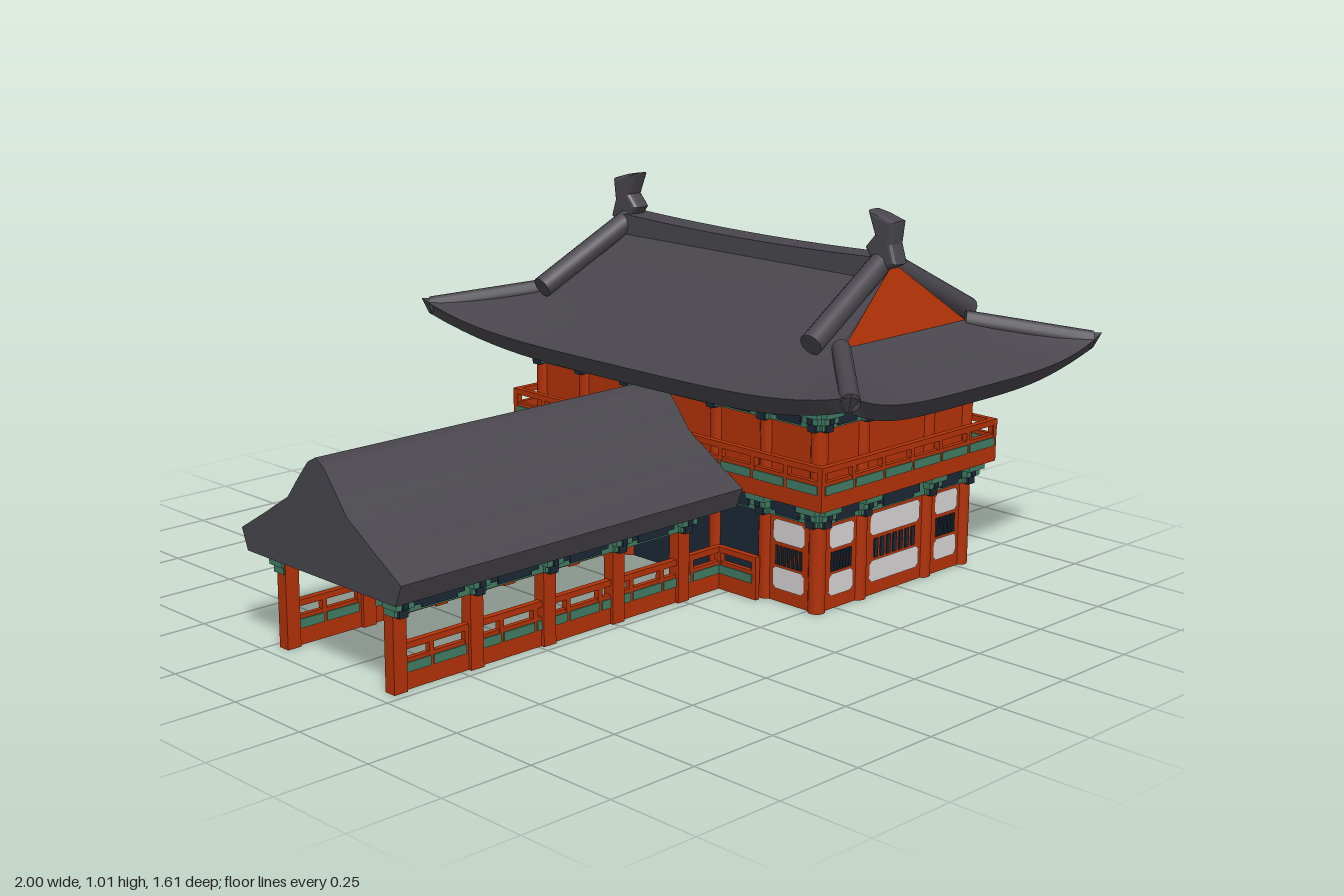
import * as THREE from 'three';
import { toCreasedNormals } from 'three/addons/utils/BufferGeometryUtils.js';

const mat = (name, color, side = THREE.FrontSide) => {
  const m = new THREE.MeshStandardMaterial({ color, side });
  m.name = name;
  return m;
};
const CX = 0.485; // centre of the gatehouse along x

export function createModel() {
  const model = new THREE.Group();
  model.name = 'gatehouse';
  const tile = mat('roof tile grey', 0x48464c, THREE.DoubleSide);
  const red = mat('vermilion timber', 0xb23208);
  const green = mat('bracket green', 0x407a63);
  const navy = mat('door navy', 0x1b2836);
  const white = mat('plaster white', 0xd4d2d2, THREE.DoubleSide);

  const add = (parent, name, geo, m, x = 0, y = 0, z = 0) => {
    const mesh = new THREE.Mesh(geo, m);
    mesh.name = name;
    mesh.position.set(x, y, z);
    parent.add(mesh);
    return mesh;
  };
  // Box given by its centre in x and z and its bottom and top heights
  const box = (parent, name, m, x, z, w, d, y0, y1) =>
    add(parent, name, new THREE.BoxGeometry(w, y1 - y0, d), m, x, (y0 + y1) / 2, z);
  const group = (name, x = 0, angle = 0) => {
    const g = new THREE.Group();
    g.name = name;
    g.position.x = x;
    g.rotation.y = angle;
    model.add(g);
    return g;
  };
  // Round bar between two points
  const bar = (parent, name, m, p, q, r) => {
    const a = new THREE.Vector3(...p), b = new THREE.Vector3(...q);
    const mesh = add(parent, name, new THREE.CylinderGeometry(r, r, a.distanceTo(b), 12), m);
    mesh.position.copy(a).add(b).multiplyScalar(0.5);
    mesh.quaternion.setFromUnitVectors(new THREE.Vector3(0, 1, 0), b.sub(a).normalize());
  };

  // Green frieze with navy insets and stepped brackets over the posts
  const frieze = (g, posts, y, z) => {
    const first = posts[0], last = posts[posts.length - 1];
    box(g, 'friezeBeam', green, (first + last) / 2, z + 0.004, last - first, 0.03, y, y + 0.055);
    posts.forEach((u, i) => {
      [[0.045, 0.04, 0], [0.054, 0.052, 0.018], [0.066, 0.064, 0.037]].forEach(([w, d, dy]) =>
        box(g, 'bracket', green, u, z + d / 2 - 0.013, w, d, y + dy, y + dy + 0.018));
      box(g, 'bracketShadow', navy, u, z + 0.02, 0.026, 0.028, y - 0.004, y + 0.018);
      box(g, 'bracketShadow', navy, u, z + 0.03, 0.018, 0.024, y + 0.018, y + 0.034);
      if (i === posts.length - 1) return;
      const len = posts[i + 1] - u;
      box(g, 'friezeInset', navy, u + len / 2, z + 0.02, len * 0.46, 0.006, y + 0.005, y + 0.046);
      box(g, 'friezeInset', navy, u + len / 2, z + 0.019, len * 0.66, 0.006, y + 0.014, y + 0.036);
    });
  };

  // Railing along local x: solid base, green fretwork, open gap and handrail
  const railing = (parent, name, x, y, z, len, angle = 0, fret = true) => {
    const g = new THREE.Group();
    g.name = name;
    g.position.set(x, y, z);
    g.rotation.y = angle;
    parent.add(g);
    box(g, 'railBase', red, 0, 0, len, 0.014, 0, 0.078);
    box(g, 'handrail', red, 0, 0, len, 0.018, 0.102, 0.118);
    const n = Math.max(1, Math.round(len / 0.115));
    for (let i = 0; i <= n; i++) {
      const u = (i / n - 0.5) * (len - 0.014);
      box(g, 'railPost', red, u, 0, 0.014, 0.016, 0.07, 0.11);
      if (fret && i < n) box(g, 'fretwork', green, u + len / n / 2, 0, len / n * 0.9, 0.02, 0.044, 0.068);
    }
  };

  // Plaster panel with clipped corners
  const panel = (g, u, y, z, w, h) => {
    const c = 0.01;
    const s = new THREE.Shape([[-w / 2 + c, 0], [w / 2 - c, 0], [w / 2, c], [w / 2, h - c], [w / 2 - c, h],
      [-w / 2 + c, h], [-w / 2, h - c], [-w / 2, c]].map(p => new THREE.Vector2(...p)));
    add(g, 'plasterPanel', new THREE.ShapeGeometry(s), white, u, y, z);
  };

  // One walled side of the gatehouse; plaster bays are finished inside and out
  const facade = (name, angle, dist, posts, isPlaster, drawCorners) => {
    const g = group(name, CX, angle);
    const end = posts[posts.length - 1];
    box(g, 'upperWall', red, 0, dist, end * 2, 0.02, 0.3, 0.545);
    posts.forEach((u, i) => {
      if (drawCorners || Math.abs(u) < end)
        add(g, 'post', new THREE.CylinderGeometry(0.023, 0.023, 0.545, 12), red, u, 0.2725, dist);
      if (i === posts.length - 1) return;
      const len = posts[i + 1] - u, mid = u + len / 2;
      const plaster = isPlaster(mid);
      box(g, plaster ? 'timberBay' : 'doorBay', plaster ? red : navy, mid, dist, len, 0.02, 0, 0.295);
      if (!plaster) return;
      const w = len - 0.066;
      for (const s of [-1, 1]) {
        panel(g, mid, 0.164, dist + s * 0.013, w, 0.062);
        panel(g, mid, 0.036, dist + s * 0.013, w, 0.06);
      }
      for (let k = -3; k <= 3; k++)
        box(g, 'windowBar', navy, mid + k * w / 8, dist, w / 14, 0.028, 0.102, 0.154);
    });
    frieze(g, posts, 0.236, dist);
    frieze(g, posts, 0.49, dist);
    return g;
  };
  const sidePosts = [-0.52, -0.345, -0.165, 0.165, 0.345, 0.52];
  const frontPosts = [-0.295, -0.134, 0.134, 0.295];
  facade('frontWall', 0, 0.52, frontPosts, () => true, false);
  const right = facade('rightWall', Math.PI / 2, 0.295, sidePosts, u => Math.abs(u) > 0.35, true);
  facade('leftWall', -Math.PI / 2, 0.295, sidePosts, u => Math.abs(u) > 0.35, true);
  box(model, 'backUpperWall', red, CX, -0.53, 0.6, 0.03, 0.295, 0.55);

  // Name board over the gate with a plain dotted inlay
  box(right, 'boardFrame', red, 0, 0.34, 0.14, 0.04, 0.488, 0.54);
  box(right, 'boardFace', navy, 0, 0.361, 0.122, 0.008, 0.494, 0.534);
  for (let i = 0; i < 8; i++) for (let j = 0; j < 2; j++)
    box(right, 'boardInlay', white, (i - 3.5) * 0.0135, 0.364, 0.009, 0.006, 0.501 + j * 0.014, 0.512 + j * 0.014);

  // Balcony floor and railings
  box(model, 'balconyFloor', red, CX, 0, 0.7, 1.15, 0.292, 0.325);
  for (const s of [-1, 1]) {
    railing(model, 'balconyRailing', CX, 0.292, s * 0.577, 0.715, 0, s > 0);
    railing(model, 'balconyRailing', CX + s * 0.349, 0.292, 0, 1.165, Math.PI / 2);
  }

  // Hipped and gabled main roof, made of strips with upturned corners
  const roof = group('mainRoof', CX);
  const slopeY = d => 0.6 + 0.23 * d + 0.57 * d * d;
  const slopeRow = d => ({ a: 0.51 - d, b: 0.803 - d, y: slopeY(d), lift: 0.06 * (1 - d / 0.255), e: 0 });
  const strip = (name, rows, alongZ, s) => {
    const N = 28, pos = [], idx = [];
    rows.forEach((r, j) => {
      for (let i = 0; i <= N; i++) {
        const t = i / N * 2 - 1, k = Math.abs(t), e = r.e * k ** 4, y = r.y + r.lift * k ** 4;
        pos.push(...(alongZ ? [s * (r.a + e), y, -s * t * (r.b + e)] : [s * t * (r.a + e), y, s * (r.b + e)]));
        if (i === N || j === rows.length - 1) continue;
        const p = j * (N + 1) + i, q = p + N + 1;
        idx.push(p, p + 1, q, p + 1, q + 1, q);
      }
    });
    const geo = new THREE.BufferGeometry();
    geo.setAttribute('position', new THREE.Float32BufferAttribute(pos, 3));
    geo.setIndex(idx);
    geo.computeVertexNormals();
    add(roof, name, geo, tile);
  };
  const soffit = { a: 0.27, b: 0.5, y: 0.555, lift: 0, e: 0 };
  const lowerEdge = { a: 0.463, b: 0.75, y: 0.543, lift: 0.075, e: 0.035 };
  const skirt = [0, 0.064, 0.128, 0.192, 0.255].map(slopeRow);
  const upper = [0.32, 0.38, 0.44, 0.51].map(d =>
    ({ a: 0.51 - d, b: 0.548 - 0.055 * (d - 0.255) / 0.255, y: slopeY(d), lift: 0, e: 0 }));
  for (const alongZ of [true, false]) for (const s of [-1, 1]) {
    strip('soffit', [soffit, lowerEdge], alongZ, s);
    strip('eaveEdge', [lowerEdge, skirt[0]], alongZ, s);
    strip('roofSlope', alongZ ? [...skirt, ...upper] : skirt, alongZ, s);
  }

  // Gables, ridges and ridge-end finials
  const finial = new THREE.Shape([[0.5, 0.86], [0.528, 0.875], [0.512, 0.925], [0.52, 0.985], [0.47, 1.0], [0.432, 1.007],
    [0.455, 0.945], [0.424, 0.91], [0.45, 0.875], [0.45, 0.84], [0.48, 0.84]].map(p => new THREE.Vector2(...p)));
  for (const s of [-1, 1]) {
    const gable = new THREE.BufferGeometry();
    gable.setAttribute('position', new THREE.Float32BufferAttribute(
      [-s * 0.255, 0.688, s * 0.552, s * 0.255, 0.688, s * 0.552, 0, 0.875, s * 0.5], 3));
    gable.computeVertexNormals();
    add(roof, 'gable', gable, red);
    const fin = add(roof, 'finial', new THREE.ExtrudeGeometry(finial,
      { depth: 0.026, bevelThickness: 0.016, bevelSize: 0.012, bevelOffset: -0.011, bevelSegments: 3 }), tile);
    fin.rotation.y = -Math.PI / 2;
    fin.position.x = 0.013;
    fin.scale.x = s; // mirrored for the back end
    for (const t of [-1, 1]) {
      bar(roof, 'gableRidge', tile, [0, 0.878, s * 0.467], [t * 0.318, 0.708, s * 0.503], 0.031);
      bar(roof, 'hipRidge', tile, [t * 0.25, 0.695, s * 0.545], [t * 0.492, 0.64, s * 0.785], 0.025);
    }
  }
  const ridge = new THREE.BoxGeometry(0.085, 0.06, 0.92, 1, 1, 12);
  const rp = ridge.attributes.position;
  for (let i = 0; i < rp.count; i++) rp.setY(i, rp.getY(i) + 0.01 * (rp.getZ(i) / 0.45) ** 2);
  ridge.computeVertexNormals();
  add(roof, 'mainRidge', ridge, tile, 0, 0.85, 0);

  // Covered corridor: posts, friezes and railings on both sides
  const corridorPosts = [-0.47, -0.235, 0, 0.235, 0.47];
  for (const s of [1, -1]) {
    const g = group('corridorSide', -0.47, s > 0 ? 0 : Math.PI);
    corridorPosts.forEach(u => box(g, 'corridorPost', red, u, 0.21, 0.04, 0.034, 0, 0.25));
    frieze(g, corridorPosts, 0.195, 0.21);
    railing(model, 'corridorRailing', -0.4, 0, s * 0.21, 1.11);
    railing(model, 'corridorReturnRailing', 0.15, 0, s * 0.28, 0.14, Math.PI / 2);
  }

  // Corridor roof from one concave cross-section with a rounded crest
  const half = [[0.29, 0.245], [0.312, 0.3], [0.215, 0.358], [0.115, 0.42], [0.07, 0.477], [0.03, 0.524], [0, 0.54]];
  const section = new THREE.Shape([...half, ...half.slice(0, -1).reverse().map(([z, y]) => [-z, y])]
    .map(p => new THREE.Vector2(...p)));
  const cover = add(model, 'corridorRoof', toCreasedNormals(
    new THREE.ExtrudeGeometry(section, { depth: 1.13, bevelEnabled: false }), 1.1), tile, -1, 0, 0);
  cover.rotation.y = Math.PI / 2;

  return model;
}
